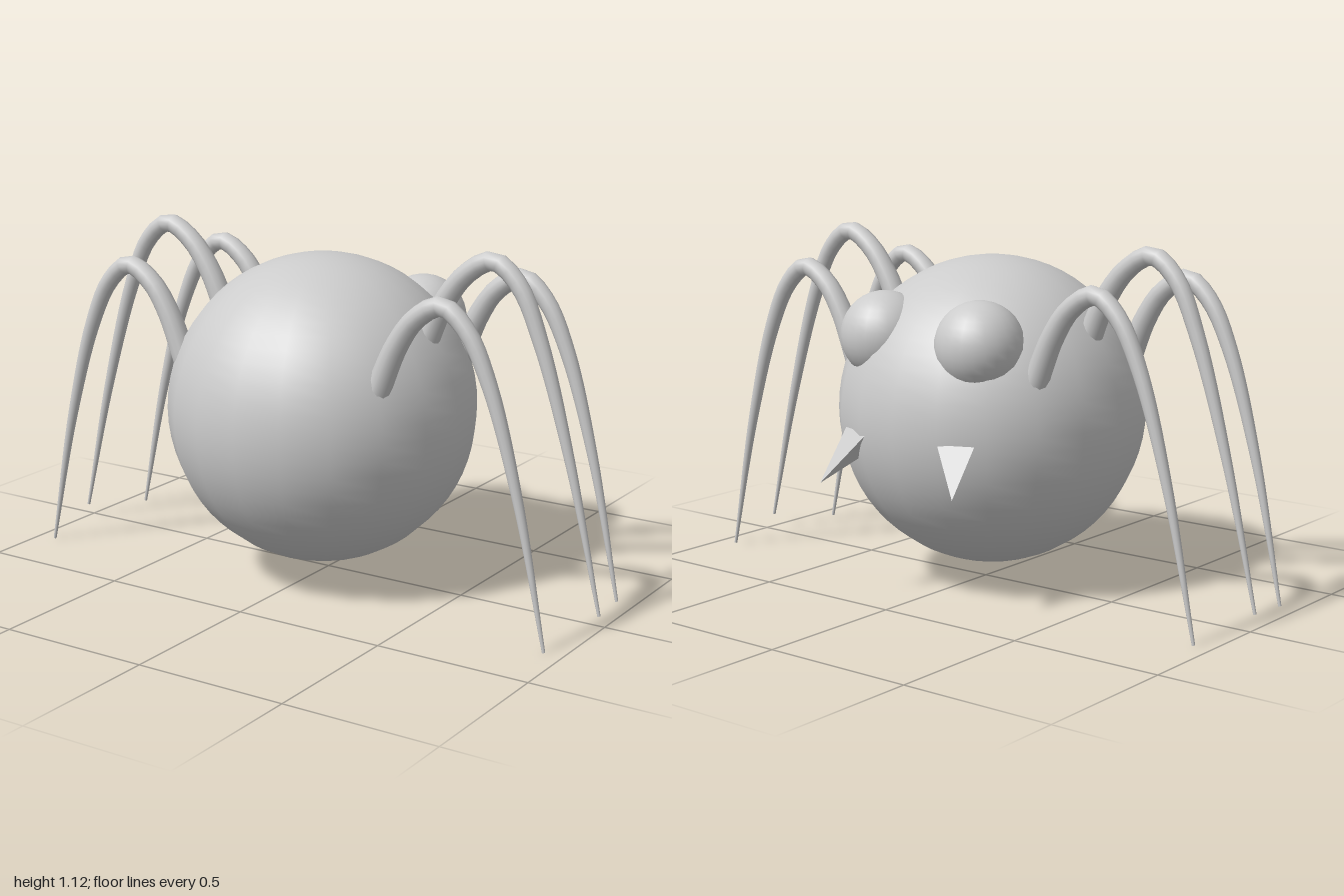
import * as THREE from 'three';
import { ConvexGeometry } from 'three/addons/geometries/ConvexGeometry.js';

const BODY = new THREE.Vector3(0, 0.555, 0.033);

// Tube along a curve, narrowing evenly from r0 to r1
function taperedTube(curve, r0, r1, segments = 40, sides = 12) {
  const geo = new THREE.TubeGeometry(curve, segments, 1, sides);
  const pos = geo.attributes.position;
  const v = new THREE.Vector3();
  for (let i = 0; i <= segments; i++) {
    const t = i / segments;
    const centre = curve.getPointAt(t);
    const r = THREE.MathUtils.lerp(r0, r1, t);
    for (let j = 0; j <= sides; j++) {
      const k = i * (sides + 1) + j;
      v.fromBufferAttribute(pos, k).sub(centre).multiplyScalar(r).add(centre);
      pos.setXYZ(k, v.x, v.y, v.z);
    }
  }
  return geo;
}

export function createModel() {
  const model = new THREE.Group();
  const smooth = new THREE.MeshStandardMaterial({ color: 0xcccccc });
  const flat = new THREE.MeshStandardMaterial({ color: 0xcccccc, flatShading: true });
  const open = new THREE.MeshStandardMaterial({ color: 0xcccccc, side: THREE.DoubleSide });

  const add = (name, geo, mat) => {
    const mesh = new THREE.Mesh(geo, mat);
    mesh.name = name;
    model.add(mesh);
    return mesh;
  };

  // Round body
  add('body', new THREE.SphereGeometry(0.498, 20, 32), smooth).position.copy(BODY);

  // Arched legs, three per side; the middle pair stands higher and wider
  const outerPath = [[0.36, 0.71], [0.425, 0.86], [0.49, 0.95], [0.578, 0.997],
    [0.66, 0.935], [0.74, 0.78], [0.84, 0.45], [0.938, 0.002]];
  const middlePath = [[0.37, 0.79], [0.44, 0.945], [0.52, 1.047], [0.61, 1.093],
    [0.695, 1.03], [0.775, 0.86], [0.885, 0.5], [0.995, 0.046]];
  const rows = [['front', 0.25, outerPath], ['middle', 0, middlePath], ['back', -0.25, outerPath]];

  for (const [side, s] of [['Left', 1], ['Right', -1]]) {
    for (const [row, dz, path] of rows) {
      const points = path.map(([x, y]) => new THREE.Vector3(s * x, y, BODY.z + dz));
      add(`${row}${side}Leg`, taperedTube(new THREE.CatmullRomCurve3(points), 0.039, 0.005), open);
    }
    // Bulging eye, half sunk in the body
    add(`eye${side}`, new THREE.SphereGeometry(0.141, 24, 18), smooth)
      .position.set(s * 0.19, 0.814, -0.272);
  }

  // Three-sided fangs: two upper corners, a buried corner and the tip
  const fangs = {
    fangLeft: [[0.125, 0.53, -0.438], [0.245, 0.53, -0.4], [0.18, 0.45, -0.38], [0.235, 0.375, -0.535]],
    fangRight: [[-0.155, 0.53, -0.436], [-0.262, 0.53, -0.39], [-0.2, 0.45, -0.37], [-0.26, 0.385, -0.495]],
  };
  for (const [name, corners] of Object.entries(fangs)) {
    add(name, new ConvexGeometry(corners.map((c) => new THREE.Vector3(...c))), flat);
  }

  return model;
}
